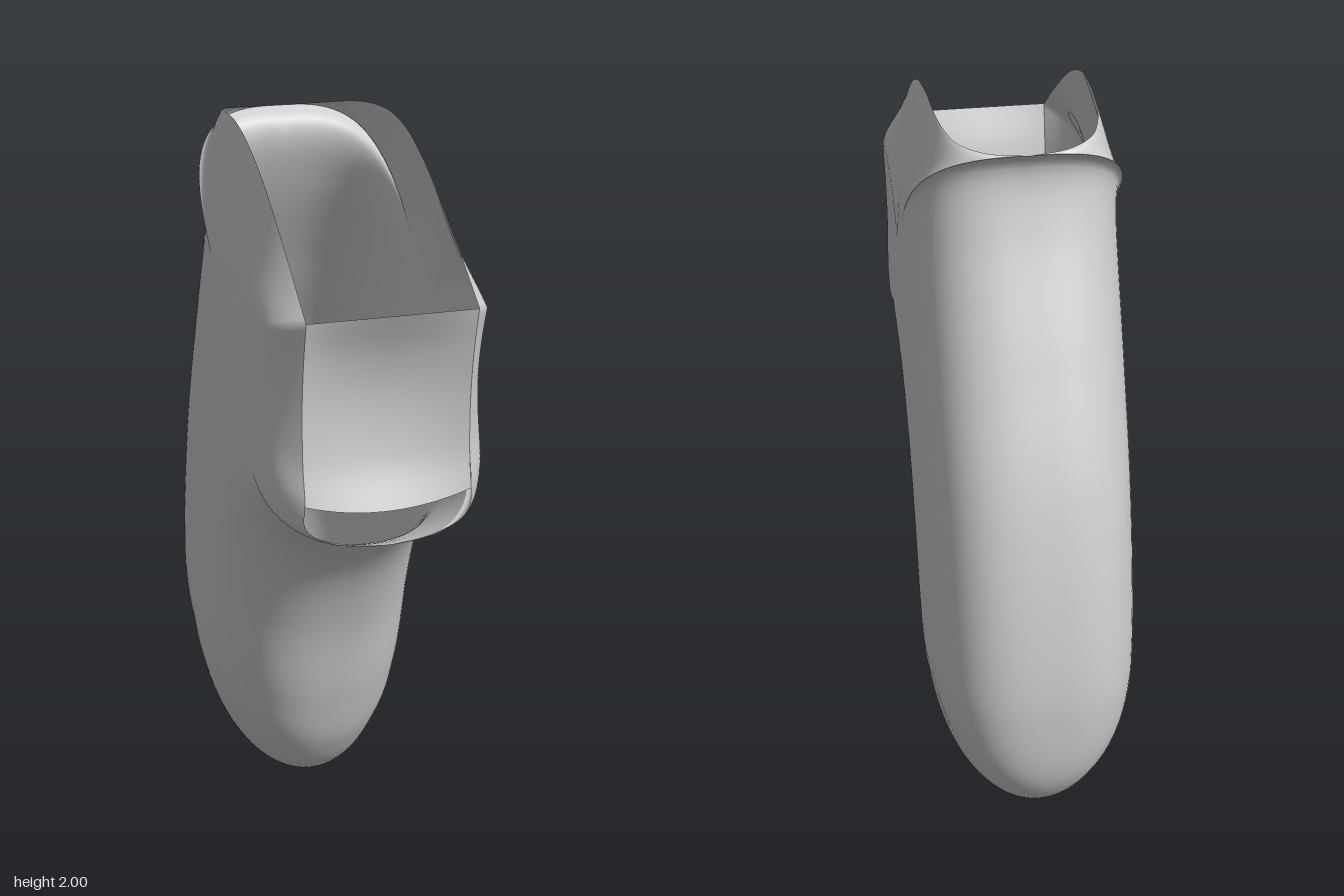
import * as THREE from 'three';
import { mergeVertices } from 'three/addons/utils/BufferGeometryUtils.js';

const { lerp, smoothstep } = THREE.MathUtils;
const HALF = 0.275; // half width of the flat flanks
const EDGE = 0.21; // half width at the open rim

// Side outline as [z, y, half width at the rim]; zero width means the skin closes there
const fold = [
  [-0.31, 1.96, 0], [-0.268, 1.93, 0], [-0.258, 1.88, 0], [-0.295, 1.75, 0], [-0.43, 1.46, 0],
  [-0.57, 1.14, 0], [-0.66, 0.8, 0], [-0.69, 0.52, 0], [-0.65, 0.26, 0], [-0.49, 0.08, 0],
  [-0.2, 0, 0], [0.03, 0.06, 0], [0.14, 0.2, 0], [0.2, 0.38, 0], [0.265, 0.65, 0],
  [0.35, 0.85, 0], [0.46, 0.98, 0], [0.59, 1.05, 0], [0.69, 1.09, 0],
];
const frontRim = [
  [0.69, 1.09, 0], [0.685, 1.1, 0.1], [0.674, 1.13, 0.19], [0.673, 1.16, EDGE], [0.68, 1.21, EDGE],
  [0.66, 1.31, EDGE], [0.655, 1.45, EDGE], [0.668, 1.57, EDGE], [0.69, 1.67, EDGE],
];
const topRim = [
  [0.69, 1.67, EDGE], [0.5, 1.8, EDGE], [0.3, 1.92, EDGE], [0.15, 1.98, EDGE], [0.02, 2, 0.206],
  [-0.12, 1.993, 0.198], [-0.2, 1.983, 0.183], [-0.25, 1.974, 0.16], [-0.292, 1.965, 0.1], [-0.31, 1.96, 0],
];

const curve = (pts) => new THREE.CatmullRomCurve3(pts.map(([z, y, x]) => new THREE.Vector3(x, y, z)));
const spine = new THREE.Line3(new THREE.Vector3(0, 1.5, 0.2), new THREE.Vector3(0, 0.55, -0.22));

// One point of the skin: from the outline point inward to the spine, swelling out to the flank
function skinPoint(P, s) {
  const flat = new THREE.Vector3(0, P.y, P.z);
  const Q = spine.closestPointToPoint(flat, true, new THREE.Vector3());
  const length = flat.distanceTo(Q);
  const w = P.x / EDGE;
  const front = smoothstep(P.z, 0, 0.4);
  const low = smoothstep(P.y, 0.1, 0.6);
  const depth = lerp(lerp(0.47, 0.32, front), lerp(0.5, 0.15, smoothstep(P.z, 0.2, 0.69)), w);
  const p = lerp(lerp(lerp(2, 3.3, low), 2.4, front), 2, w);
  const q = lerp(lerp(lerp(2, 3, low), 2.4, front), 1, w);
  const u = Math.min(1, (s * length) / Math.min(depth, length));
  const swell = Math.pow(1 - Math.pow(1 - u, p), 1 / q);
  flat.lerp(Q, s);
  flat.x = P.x + (HALF - P.x) * swell;
  return flat;
}

// Both halves of the skin, welded along the closed part of the outline
function skinGeometry() {
  const outline = [
    ...curve(fold).getSpacedPoints(150).slice(0, -1),
    ...curve(frontRim).getSpacedPoints(50).slice(0, -1),
    ...curve(topRim).getSpacedPoints(80).slice(0, -1),
  ];
  const rows = outline.length, cols = 32;
  const positions = [], index = [];
  for (const side of [1, -1]) {
    const base = positions.length / 3;
    for (const P of outline) {
      // Exact zero on the closed part keeps the seam weldable
      if (P.x < 1e-4) P.x = 0;
      for (let j = 0; j <= cols; j++) {
        const v = skinPoint(P, Math.pow(j / cols, 2.4));
        positions.push(v.x * side, v.y, v.z);
      }
    }
    for (let i = 0; i < rows; i++) {
      for (let j = 0; j < cols; j++) {
        const a = base + i * (cols + 1) + j, b = a + 1;
        const c = base + ((i + 1) % rows) * (cols + 1) + j, d = c + 1;
        if (side > 0) index.push(a, b, c, b, d, c);
        else index.push(a, c, b, b, c, d);
      }
    }
  }
  const geo = new THREE.BufferGeometry();
  geo.setAttribute('position', new THREE.Float32BufferAttribute(positions, 3));
  geo.setIndex(index);
  const welded = mergeVertices(geo, 1e-5);
  welded.computeVertexNormals();
  return welded;
}

// Front panel, hollowed both ways, spanning the rims above the slot
function panelGeometry() {
  const side = curve(frontRim.slice(4));
  const geo = new THREE.PlaneGeometry(2, 1, 24, 24);
  const pos = geo.attributes.position;
  for (let i = 0; i < pos.count; i++) {
    const a = pos.getX(i), t = pos.getY(i) + 0.5;
    const P = side.getPoint(t);
    const middle = 1 - a * a;
    pos.setXYZ(i, a * EDGE, P.y - 0.035 * middle * (1 - t), P.z - 0.035 * middle * Math.sin(Math.PI * t));
  }
  geo.computeVertexNormals();
  return geo;
}

export function createModel() {
  const group = new THREE.Group();
  group.name = 'gripCover';
  const material = new THREE.MeshStandardMaterial({ color: 0xcccccc, side: THREE.DoubleSide });
  const add = (name, geometry) => {
    const mesh = new THREE.Mesh(geometry, material);
    mesh.name = name;
    group.add(mesh);
  };
  add('gripShell', skinGeometry());
  add('frontPanel', panelGeometry());
  return group;
}
